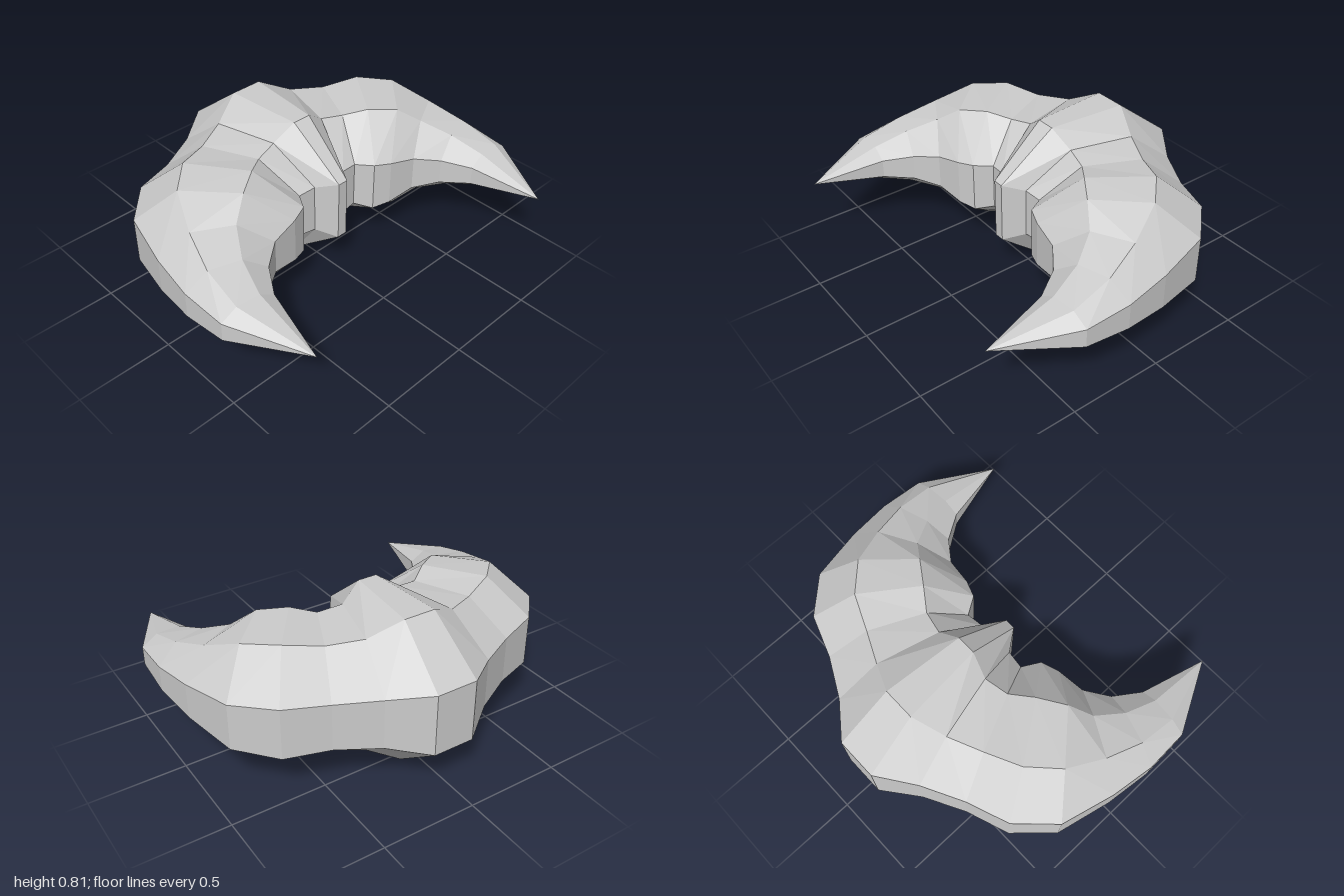
import * as THREE from 'three';

const MID_Y = 0.405;

// Half of the crescent, from the middle to the tip. Each eight-sided section:
// [x, z] of the outer edge, outer ridge, inner ridge and inner edge,
// then the half height of the ridges and of the edges.
const SECTIONS = [
  [0.11, -0.84, 0.085, -0.54, 0.05, -0.11, 0.028, 0.19, 0.405, 0.168],
  [0.30, -0.70, 0.25, -0.47, 0.165, -0.14, 0.10, 0.09, 0.32, 0.135],
  [0.51, -0.59, 0.42, -0.39, 0.29, -0.11, 0.195, 0.08, 0.30, 0.127],
  [0.73, -0.51, 0.60, -0.31, 0.40, -0.03, 0.25, 0.17, 0.325, 0.138],
  [0.90, -0.33, 0.74, -0.17, 0.53, 0.06, 0.34, 0.205, 0.308, 0.125],
  [0.97, -0.04, 0.83, 0.03, 0.64, 0.135, 0.49, 0.23, 0.225, 0.095],
  [1.00, 0.20, 0.89, 0.23, 0.73, 0.28, 0.61, 0.32, 0.16, 0.07],
  [0.99, 0.44, 0.905, 0.445, 0.78, 0.455, 0.70, 0.46, 0.10, 0.05],
  [0.79, 0.83, 0.79, 0.83, 0.79, 0.83, 0.79, 0.83, 0, 0],
];

// Eight corners of a section, over the top and back underneath
function ring(s, side) {
  const [ridge, edge] = [s[8], s[9]];
  const heights = [edge, ridge, ridge, edge];
  const corner = (i, up) => new THREE.Vector3(side * s[2 * i], MID_Y + up * heights[i], s[2 * i + 1]);
  return [0, 1, 2, 3].map((i) => corner(i, 1)).concat([3, 2, 1, 0].map((i) => corner(i, -1)));
}

function crescentGeometry() {
  const rings = [
    ...SECTIONS.slice().reverse().map((s) => ring(s, -1)),
    ...SECTIONS.map((s) => ring(s, 1)),
  ];
  const points = [];
  const triangle = (a, b, c) => {
    const area = b.clone().sub(a).cross(c.clone().sub(a)).length();
    if (area > 1e-8) points.push(a, b, c); // nothing collapsed at the tips
  };
  for (let r = 0; r < rings.length - 1; r++) {
    const [a, b] = [rings[r], rings[r + 1]];
    for (let i = 0; i < 8; i++) {
      const j = (i + 1) % 8;
      // mirrored diagonals on the two halves
      if (r < SECTIONS.length) {
        triangle(a[i], a[j], b[j]);
        triangle(a[i], b[j], b[i]);
      } else {
        triangle(a[i], a[j], b[i]);
        triangle(a[j], b[j], b[i]);
      }
    }
  }
  const geometry = new THREE.BufferGeometry().setFromPoints(points);
  geometry.computeVertexNormals();
  return geometry;
}

export function createModel() {
  const group = new THREE.Group();
  group.name = 'crescentHorn';
  const material = new THREE.MeshStandardMaterial({ color: 0xcccccc, flatShading: true });
  const body = new THREE.Mesh(crescentGeometry(), material);
  body.name = 'crescentBody';
  group.add(body);
  return group;
}
